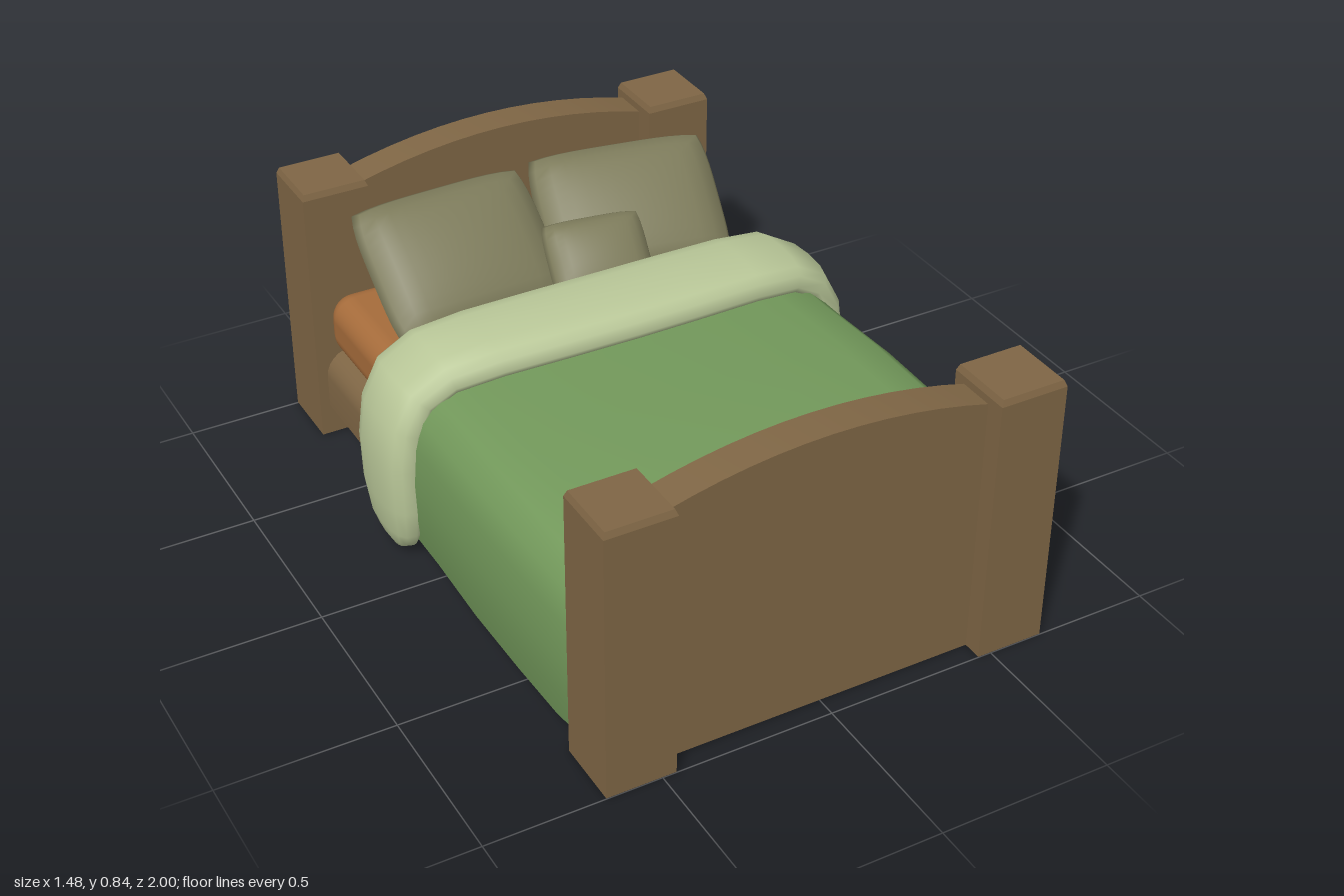
import * as THREE from 'three';
import { toCreasedNormals, mergeVertices } from 'three/addons/utils/BufferGeometryUtils.js';
import { RoundedBoxGeometry } from 'three/addons/geometries/RoundedBoxGeometry.js';

const paint = (name, color, side = THREE.FrontSide) => {
  const m = new THREE.MeshStandardMaterial({ color, side });
  m.name = name;
  return m;
};

// Mirror a half profile running from +x up to the middle
const mirror = (half, middle) =>
  [...half, middle, ...half.map(([x, ...rest]) => [-x, ...rest]).reverse()];

// Skin a list of equal-length rings of [x, y, z] points
function loft(rings, closed) {
  const n = rings[0].length, index = [];
  for (let i = 0; i < rings.length - 1; i++) {
    for (let j = 0; j < (closed ? n : n - 1); j++) {
      const k = (j + 1) % n;
      const a = i * n + j, b = i * n + k, c = a + n, d = b + n;
      index.push(a, b, c, b, d, c);
    }
  }
  const g = new THREE.BufferGeometry();
  g.setAttribute('position', new THREE.Float32BufferAttribute(rings.flat(2), 3));
  g.setIndex(index);
  g.computeVertexNormals();
  return g;
}

// Hollow wooden block: a profile run along z, with end walls and an open underside
function shell(profile, z0, z1) {
  const floor = profile[0][1];
  const ring = (z, wall) => profile.map(([x, y]) => [x, wall ? floor : y, z]);
  return toCreasedNormals(loft([ring(z0, true), ring(z0), ring(z1), ring(z1, true)], false), 0.6);
}

// Square post with a small chamfer round its top, open underneath
function postGeometry() {
  const r = 0.1 * Math.SQRT2;
  const outline = [[r, 0.002], [r, 0.8], [r * 0.93, 0.818], [0, 0.818]];
  const g = new THREE.LatheGeometry(outline.map(p => new THREE.Vector2(...p)), 4, Math.PI / 4);
  return toCreasedNormals(g, 0.3);
}

// Board with a gently arched top
function panelGeometry() {
  const half = [[0.47, 0.002]];
  for (let i = 0; i < 6; i++) {
    const x = 0.47 * (1 - i / 6);
    half.push([x, 0.842 - 0.3 * x * x]);
  }
  return shell(mirror(half, [0, 0.842]), -0.0525, 0.0525);
}

// Base with rounded upper edges
function baseGeometry() {
  const r = 0.08, half = [[0.63, 0.1]];
  for (let i = 0; i <= 6; i++) {
    const a = (i / 6) * Math.PI / 2;
    half.push([0.55 + r * Math.cos(a), 0.202 + r * Math.sin(a)]);
  }
  return shell(mirror(half, [0, 0.282]), -0.845, 0.84);
}

// Blanket draped over the mattress, tucked in at the foot
function blanketGeometry() {
  const profile = mirror([[0.655, 0.048], [0.675, 0.16], [0.68, 0.28], [0.67, 0.4], [0.645, 0.48],
    [0.59, 0.53], [0.48, 0.553], [0.25, 0.566]], [0, 0.57]);
  // z, width scale, top scale
  const stations = [[-0.2, 0.99, 0.98], [0, 0.99, 0.985], [0.25, 1, 1], [0.5, 0.995, 0.995],
    [0.7, 0.985, 0.98], [0.79, 0.97, 0.96], [0.825, 0.965, 0.94], [0.84, 0.965, 0.87]];
  return loft(stations.map(([z, sx, sy]) =>
    profile.map(([x, y]) => [x * sx, 0.048 + (y - 0.048) * sy, z])), false);
}

// Puffy turned-back fold swept over the bed, flatter on its inner face
function foldGeometry() {
  // x, y, thickness scale
  const path = mirror([[0.672, 0, 0.02], [0.672, 0.005, 0.3], [0.667, 0.04, 0.65], [0.668, 0.09, 0.85],
    [0.671, 0.18, 0.98], [0.673, 0.32, 1], [0.658, 0.43, 1], [0.618, 0.51, 1], [0.54, 0.557, 1],
    [0.4, 0.577, 1], [0.2, 0.585, 1]], [0, 0.587, 1]);
  const soft = v => Math.sign(v) * Math.abs(v) ** 0.75;
  const rings = path.map(([x, y, s], i) => {
    const a = path[Math.max(i - 1, 0)], b = path[Math.min(i + 1, path.length - 1)];
    const len = Math.hypot(b[0] - a[0], b[1] - a[1]);
    const nx = (b[1] - a[1]) / len, ny = -(b[0] - a[0]) / len;
    const k = Math.min(1, (x / 0.6) ** 2);
    const zc = -0.18 - 0.038 * k, width = 0.155 - 0.01 * k;
    return Array.from({ length: 16 }, (_, j) => {
      const t = (j / 16) * Math.PI * 2, c = Math.cos(t);
      const out = soft(c) * s * (c > 0 ? 0.067 : 0.036);
      return [x + nx * out, y + ny * out, zc - soft(Math.sin(t)) * width * s];
    });
  });
  return loft(rings, true);
}

// Plump domed cushion with blunt edges and rounded corners
function pillowGeometry(w, h, t) {
  const box = new THREE.BoxGeometry(w, h, t, 12, 12, 2);
  box.deleteAttribute('uv');
  box.deleteAttribute('normal');
  const g = mergeVertices(box);
  const p = g.attributes.position;
  for (let i = 0; i < p.count; i++) {
    const u = (2 * p.getX(i)) / w, v = (2 * p.getY(i)) / h, d = (2 * p.getZ(i)) / t;
    const puff = 0.32 + 0.68 * (Math.max(0, 1 - u * u) * Math.max(0, 1 - v * v)) ** 0.5;
    const rim = 1 - 0.05 * Math.abs(d);
    p.setXYZ(i, p.getX(i) * rim * (1 - 0.06 * v ** 4),
      p.getY(i) * rim * (1 - 0.06 * u ** 4), p.getZ(i) * puff);
  }
  g.computeVertexNormals();
  return g;
}

export function createModel() {
  const wood = paint('brown wood', 0x7f6645, THREE.DoubleSide);
  const sheet = paint('orange brown mattress', 0xa66c3b);
  const green = paint('green blanket', 0x73995b, THREE.DoubleSide);
  const pale = paint('pale green fold', 0xbac899, THREE.DoubleSide);
  const olive = paint('olive pillow', 0x7d7b5b);

  const model = new THREE.Group();
  model.name = 'bed';
  const add = (name, geometry, material, x = 0, y = 0, z = 0) => {
    const mesh = new THREE.Mesh(geometry, material);
    mesh.name = name;
    mesh.position.set(x, y, z);
    model.add(mesh);
    return mesh;
  };

  // Wooden frame
  const post = postGeometry(), panel = panelGeometry();
  for (const [end, z] of [['foot', 0.9], ['head', -0.9]]) {
    for (const [side, x] of [['Left', 0.56], ['Right', -0.56]]) {
      add(`${end}Post${side}`, post, wood, x, 0, z);
    }
  }
  add('footboard', panel, wood, 0, 0, 0.89);
  add('headboard', panel, wood, 0, 0, -0.918);
  add('base', baseGeometry(), wood);

  // Bedding
  add('mattress', new RoundedBoxGeometry(1.22, 0.19, 1.65, 5, 0.07), sheet, 0, 0.381, 0);
  add('blanket', blanketGeometry(), green);
  add('blanketFold', foldGeometry(), pale);

  // Pillows: name, size, position, yaw, lean
  const pillows = [
    ['pillowRight', [0.56, 0.44, 0.17], [-0.275, 0.622, -0.585], 0.04, -0.86],
    ['pillowLeft', [0.56, 0.43, 0.17], [0.275, 0.622, -0.585], -0.17, -0.86],
    ['smallPillow', [0.305, 0.25, 0.12], [0.082, 0.603, -0.42], -0.15, -0.8],
  ];
  for (const [name, size, pos, yaw, lean] of pillows) {
    add(name, pillowGeometry(...size), olive, ...pos).rotation.set(lean, yaw, 0, 'YXZ');
  }
  return model;
}
